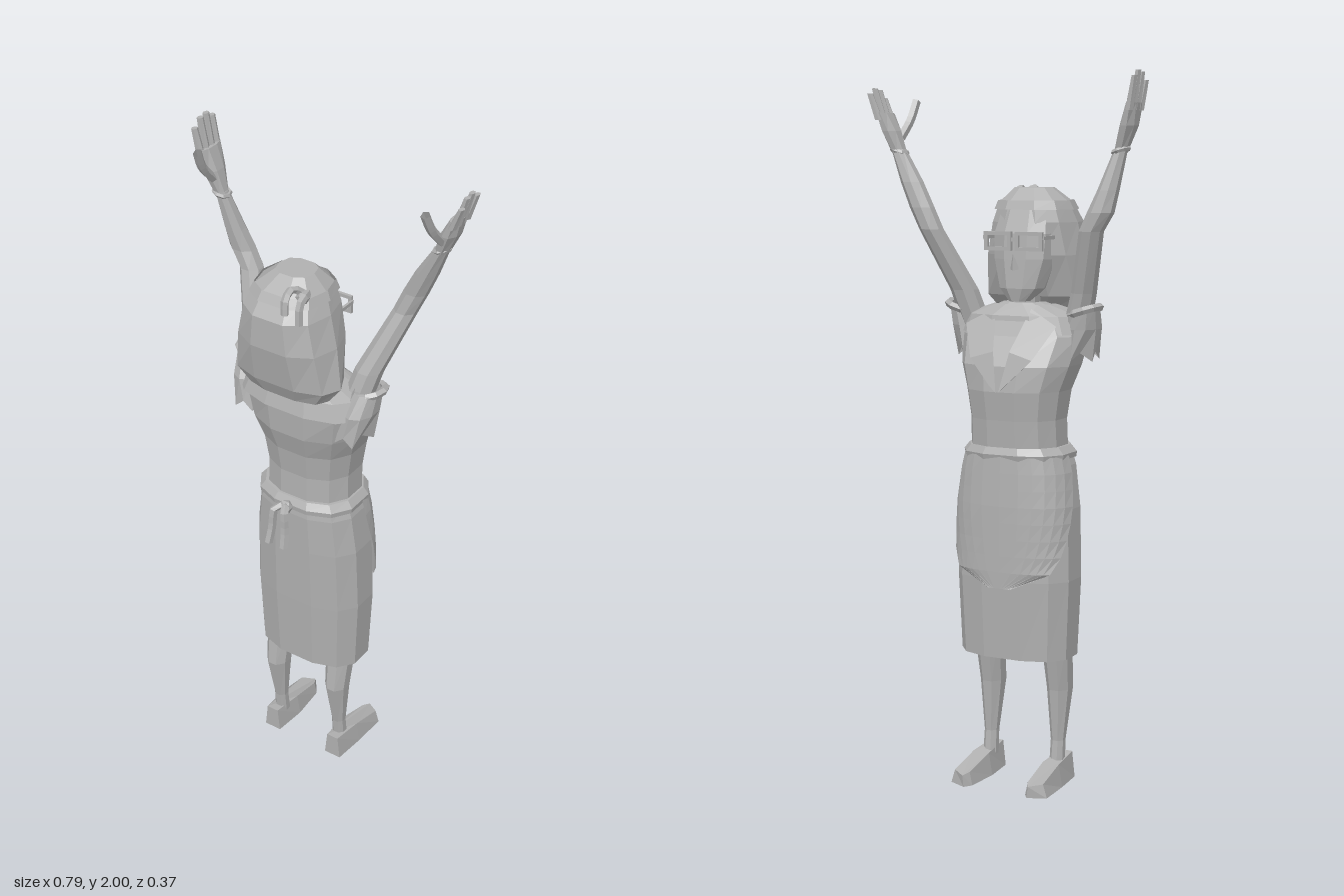
import * as THREE from 'three';

const clay = new THREE.MeshStandardMaterial({ color: 0xb0b0b0, flatShading: true, side: THREE.DoubleSide });
clay.name = 'light grey';

export function createModel() {
  const model = new THREE.Group();
  model.name = 'cheeringWoman';

  function add(name, geometry, x = 0, y = 0, z = 0) {
    const mesh = new THREE.Mesh(geometry, clay);
    mesh.name = name;
    mesh.position.set(x, y, z);
    model.add(mesh);
    return mesh;
  }

  // Point on a rounded-box ring [y, cx, cz, rx, rz]
  const bend = (v, p) => Math.sign(v) * Math.abs(v) ** p;
  const onRing = ([y, cx, cz, rx, rz], a, p, grow = 0) =>
    [cx + (rx + grow) * bend(Math.sin(a), p), y, cz + (rz + grow) * bend(Math.cos(a), p)];

  function surface(rows, closedEnds) {
    const n = rows[0].length, pos = rows.flat(2), index = [];
    for (let i = 0; i < rows.length - 1; i++)
      for (let j = 0; j < n - 1; j++) {
        const a = i * n + j, b = a + 1, c = b + n, d = a + n;
        index.push(a, b, c, a, c, d);
      }
    if (closedEnds) {
      const t = (rows.length - 1) * n;
      for (let j = 1; j < n - 2; j++) index.push(0, j + 1, j, t, t + j, t + j + 1);
    }
    const g = new THREE.BufferGeometry();
    g.setAttribute('position', new THREE.Float32BufferAttribute(pos, 3));
    g.setIndex(index);
    g.computeVertexNormals();
    return g;
  }

  // Horizontal cross-sections, listed from bottom to top
  function loft(name, rings, n = 8, p = 1, closed = true) {
    const rows = rings.map(r => Array.from({ length: n + 1 }, (_, j) => onRing(r, (j + 0.5) / n * Math.PI * 2, p)));
    return add(name, surface(rows, closed));
  }

  function ribbon(name, points, radius, flat = 1) {
    const curve = new THREE.CatmullRomCurve3(points.map(p => new THREE.Vector3(...p)));
    const g = new THREE.TubeGeometry(curve, 7, radius, 5);
    const mesh = add(name, g);
    mesh.scale.x = flat;
    return mesh;
  }

  // Legs and shoes
  for (const x of [-0.135, 0.08]) {
    loft('leg', [[0.05, x, -0.01, 0.022, 0.024], [0.12, x, -0.003, 0.021, 0.022],
      [0.27, x, 0.007, 0.036, 0.043], [0.42, x, -0.015, 0.045, 0.046]], 8);
    const side = x < 0 ? 1 : -1;
    const sole = new THREE.Shape([[-0.027, -0.04], [0.027, -0.04], [0.036, 0.06], [0.034 - side * 0.006, 0.165],
      [side * 0.012, 0.188], [-0.034 - side * 0.006, 0.165], [-0.036, 0.06]].map(q => new THREE.Vector2(...q)));
    const shoe = new THREE.ExtrudeGeometry(sole, { depth: 0.06, bevelEnabled: false });
    shoe.rotateX(-Math.PI / 2);
    // Slope the upper from ankle to toe and narrow it
    const v = shoe.attributes.position;
    for (let i = 0; i < v.count; i++) if (v.getY(i) > 0.03) {
      v.setY(i, 0.075 + Math.min(0, v.getZ(i) + 0.02) * 0.25);
      v.setX(i, v.getX(i) * 0.7);
    }
    shoe.computeVertexNormals();
    add('shoe', shoe, x - 0.005 * side, 0, 0);
  }

  // Skirt with an apron over its front (-z) side
  const skirt = [[0.375, -0.025, -0.032, 0.17, 0.108], [0.6, -0.025, -0.032, 0.18, 0.118],
    [0.8, -0.025, -0.028, 0.174, 0.12], [0.92, -0.025, -0.024, 0.158, 0.118], [0.97, -0.025, -0.025, 0.142, 0.114]];
  loft('skirt', skirt, 12, 0.8);
  const skirtAt = y => {
    const i = Math.max(1, skirt.findIndex(r => r[0] >= y));
    const a = skirt[i - 1], b = skirt[i], t = (y - a[0]) / (b[0] - a[0]);
    return a.map((q, k) => q + (b[k] - q) * t);
  };
  const apron = [];
  for (let i = 0; i <= 8; i++) {
    const t = 1 - i / 8, half = 0.12 + 1.4 * Math.sqrt(1 - t * t);
    const ring = skirtAt(0.95 - 0.37 * t);
    apron.push(Array.from({ length: 13 }, (_, j) => onRing(ring, Math.PI + (j / 6 - 1) * half, 0.8, 0.008)));
  }
  add('apron', surface(apron));
  loft('waistband', [[0.94, -0.025, -0.025, 0.158, 0.124], [0.955, -0.025, -0.026, 0.16, 0.127],
    [0.975, -0.025, -0.028, 0.143, 0.117]], 12, 0.8);

  // Apron knot at the back
  add('apronKnot', new THREE.IcosahedronGeometry(0.022), -0.03, 0.955, 0.112);
  for (const s of [-1, 1]) {
    ribbon('apronTail', [[-0.03, 0.955, 0.11], [-0.03 + s * 0.016, 0.965, 0.14],
      [-0.03 + s * 0.022, 0.9, 0.148], [-0.03 + s * 0.026, 0.85, 0.16]], 0.012);
  }

  // Bodice
  loft('bodice', [[0.95, -0.025, -0.03, 0.138, 0.113], [1.05, -0.025, -0.035, 0.136, 0.115],
    [1.13, -0.025, -0.034, 0.148, 0.125], [1.2, -0.025, -0.019, 0.172, 0.132],
    [1.28, -0.025, 0.005, 0.188, 0.112], [1.33, -0.025, 0.008, 0.155, 0.095], [1.37, -0.025, 0, 0.06, 0.055]], 12, 0.85);
  // Wide collar and lapels
  loft('collar', [[1.285, -0.025, 0.014, 0.202, 0.112], [1.335, -0.025, 0.012, 0.18, 0.1],
    [1.365, -0.025, 0.005, 0.085, 0.07]], 12, 0.85, false);
  for (const s of [-1, 1]) {
    add('lapel', surface([
      [[-0.025 + s * 0.004, 1.13, -0.168], [-0.025 + s * 0.025, 1.15, -0.168]],
      [[-0.025 + s * 0.025, 1.24, -0.142], [-0.025 + s * 0.095, 1.22, -0.145]],
      [[-0.025 + s * 0.055, 1.355, -0.068], [-0.025 + s * 0.14, 1.31, -0.085]]]));
  }

  // Ruffled sleeves with a jagged lower edge
  for (const [x, s] of [[-0.205, -1], [0.155, 1]]) {
    const rings = [[1.235, x - s * 0.015, 0.02, 0.036, 0.062], [1.3, x, 0.012, 0.046, 0.066],
      [1.36, x + s * 0.012, -0.005, 0.037, 0.05]];
    const rows = rings.map((r, i) => Array.from({ length: 11 }, (_, j) => {
      const q = onRing(r, j / 10 * Math.PI * 2, 1, i === 0 && j % 2 ? 0.012 : 0);
      if (i === 0 && j % 2) q[1] -= 0.025;
      return q;
    }));
    add('sleeve', surface(rows));
    const cuff = add('sleeveCuff', new THREE.TorusGeometry(0.043, 0.011, 5, 10), x + s * 0.012, 1.35, -0.01);
    cuff.rotation.set(Math.PI / 2, s * 0.3, 0);
  }

  // Raised arms, each with wrist band, palm, fingers and thumb
  const arms = [
    { arm: [[1.27, -0.18, 0, 0.04, 0.04], [1.4, -0.218, -0.022, 0.035, 0.038], [1.57, -0.262, -0.07, 0.034, 0.034],
      [1.62, -0.29, -0.072, 0.038, 0.033], [1.68, -0.308, -0.062, 0.03, 0.03], [1.79, -0.336, -0.043, 0.018, 0.02]],
      palm: [[1.78, -0.335, -0.043, 0.018, 0.02], [1.85, -0.358, -0.042, 0.023, 0.04], [1.91, -0.373, -0.042, 0.014, 0.047]],
      tip: [1.995, -0.389, -0.042], thumb: [[-0.347, 1.83, -0.02], [-0.345, 1.88, 0.025], [-0.338, 1.935, 0.052]] },
    { arm: [[1.27, 0.115, 0, 0.042, 0.042], [1.4, 0.148, -0.035, 0.04, 0.04], [1.57, 0.212, -0.108, 0.034, 0.035],
      [1.63, 0.238, -0.114, 0.035, 0.033], [1.7, 0.272, -0.11, 0.032, 0.032], [1.79, 0.32, -0.1, 0.02, 0.025]],
      palm: [[1.78, 0.318, -0.1, 0.02, 0.025], [1.84, 0.343, -0.1, 0.024, 0.04], [1.89, 0.362, -0.102, 0.015, 0.043]],
      tip: [1.958, 0.388, -0.102], thumb: [[0.33, 1.82, -0.075], [0.325, 1.87, -0.03], [0.322, 1.925, 0]] }
  ];
  for (const { arm, palm, tip, thumb } of arms) {
    loft('arm', arm, 8);
    loft('palm', palm, 8);
    const base = palm[2];
    for (let f = 0; f < 4; f++) {
      const o = (f - 1.5) * 0.023, drop = [0.015, 0, 0.004, 0.025][f];
      loft('finger', [[base[0] - 0.02, base[1], base[2] + o, 0.012, 0.013],
        [tip[0] - drop, tip[1], tip[2] + o * 1.1, 0.008, 0.011]], 6);
    }
    ribbon('thumb', thumb, 0.013);
    const band = add('wristBand', new THREE.TorusGeometry(0.022, 0.007, 5, 8), palm[0][1], 1.785, palm[0][2]);
    band.rotation.set(Math.PI / 2, Math.sign(tip[1]) * 0.3, 0);
  }

  // Neck and face
  loft('neck', [[1.3, -0.03, -0.01, 0.045, 0.045], [1.45, -0.035, -0.015, 0.04, 0.04]], 8);
  loft('face', [[1.375, -0.036, -0.05, 0.03, 0.03], [1.41, -0.036, -0.03, 0.065, 0.058],
    [1.49, -0.036, -0.01, 0.09, 0.075], [1.56, -0.036, 0, 0.095, 0.08], [1.63, -0.038, 0.015, 0.08, 0.07]], 10, 0.85);
  const nose = add('nose', new THREE.ConeGeometry(0.014, 0.045, 4), -0.036, 1.485, -0.087);
  nose.rotation.x = -0.25;

  // Glasses
  for (const x of [-0.084, 0.012]) {
    const frame = new THREE.Shape([[-0.042, -0.026], [0.042, -0.026], [0.042, 0.026], [-0.042, 0.026]].map(q => new THREE.Vector2(...q)));
    frame.holes.push(new THREE.Path([[-0.031, -0.016], [-0.031, 0.016], [0.031, 0.016], [0.031, -0.016]].map(q => new THREE.Vector2(...q))));
    add('glassesFrame', new THREE.ExtrudeGeometry(frame, { depth: 0.009, bevelEnabled: false }), x, 1.54, -0.094);
  }
  add('glassesBridge', new THREE.BoxGeometry(0.018, 0.01, 0.009), -0.036, 1.545, -0.089);
  for (const x of [-0.127, 0.055]) add('glassesTemple', new THREE.BoxGeometry(0.007, 0.01, 0.08), x, 1.55, -0.05);

  // Bobbed hair, flaring toward the nape
  loft('hair', [[1.34, -0.03, 0.085, 0.125, 0.05], [1.385, -0.033, 0.078, 0.163, 0.08],
    [1.5, -0.035, 0.066, 0.144, 0.115], [1.59, -0.038, 0.058, 0.122, 0.12],
    [1.645, -0.04, 0.043, 0.1, 0.094], [1.685, -0.035, 0.04, 0.055, 0.05]], 10, 0.8);

  // Headband and its bow
  loft('headband', [[1.625, -0.039, 0.047, 0.114, 0.11], [1.65, -0.039, 0.043, 0.103, 0.098]], 10, 0.8, false);
  add('hairKnot', new THREE.IcosahedronGeometry(0.02), 0.035, 1.655, 0.115);
  for (const [x, y] of [[0.015, 1.625], [0.06, 1.61]]) {
    ribbon('hairRibbon', [[0.035, 1.655, 0.1], [x, 1.682, 0.135], [x, 1.665, 0.165], [x + 0.003, y, 0.174]], 0.011);
  }

  return model;
}
